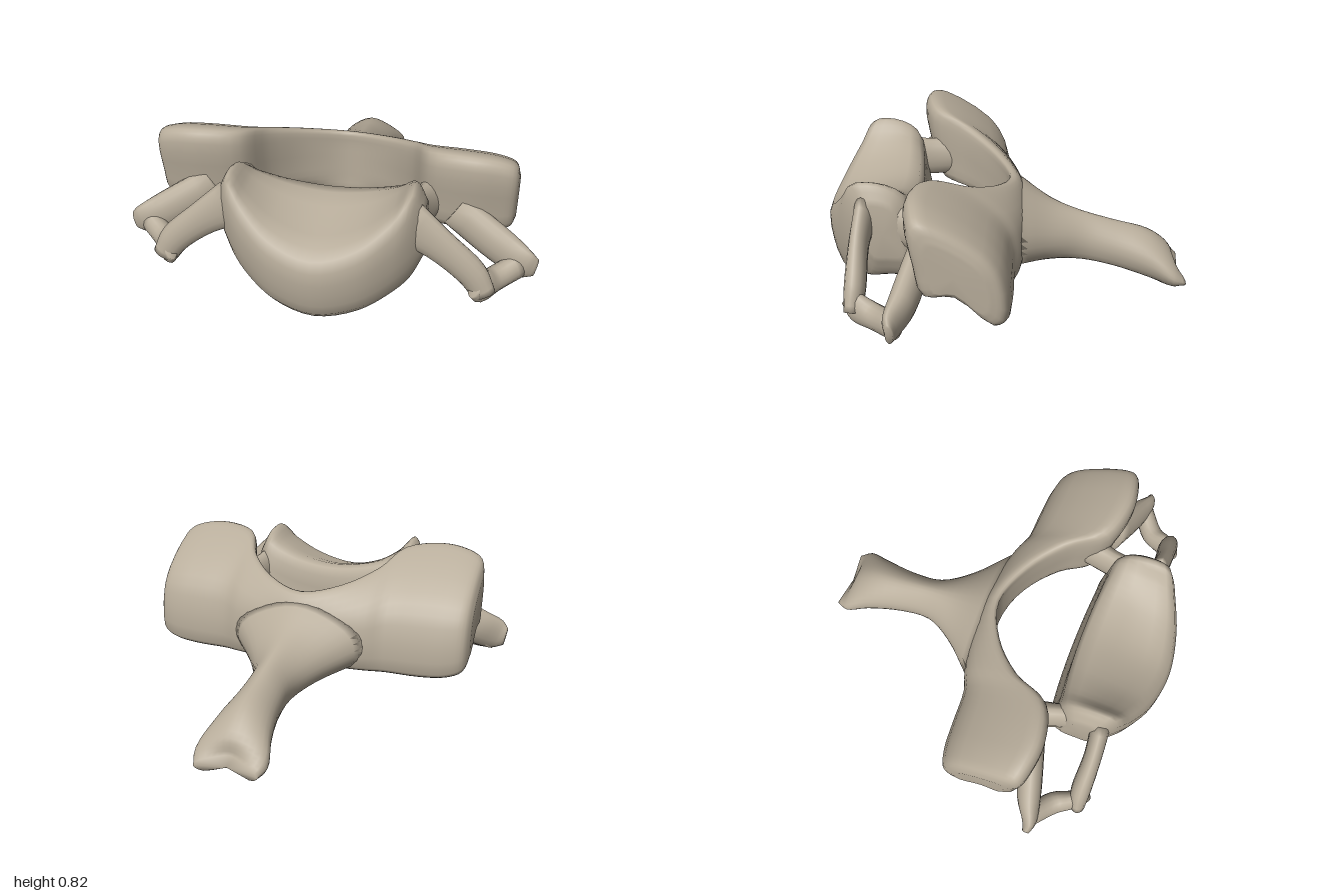
import * as THREE from 'three';

const bone = new THREE.MeshStandardMaterial({ color: 0xb8ad9b });
bone.name = 'bone';

// Smooth closed skin through a row of rings that share a point count
function loft(name, rings, ringStep = 3, rowStep = 4) {
  const around = rings[0].length * ringStep;
  const dense = rings.map((r) => {
    const c = new THREE.CatmullRomCurve3(r, true, 'centripetal');
    return Array.from({ length: around }, (_, i) => c.getPoint(i / around));
  });
  const rows = (rings.length - 1) * rowStep;
  const columns = dense[0].map((_, i) => new THREE.CatmullRomCurve3(dense.map((r) => r[i]), false, 'centripetal'));
  const pts = [];
  for (let j = 0; j <= rows; j++) columns.forEach((c) => pts.push(c.getPoint(j / rows)));
  const index = [];
  for (let j = 0; j < rows; j++) {
    for (let i = 0; i < around; i++) {
      const a = j * around + i, b = j * around + (i + 1) % around;
      index.push(a, b, b + around, a, b + around, a + around);
    }
  }
  // End caps
  for (const [start, flip] of [[0, true], [rows * around, false]]) {
    const mid = new THREE.Vector3();
    for (let i = 0; i < around; i++) mid.addScaledVector(pts[start + i], 1 / around);
    const m = pts.push(mid) - 1;
    for (let i = 0; i < around; i++) {
      const a = start + i, b = start + (i + 1) % around;
      index.push(m, flip ? b : a, flip ? a : b);
    }
  }
  // Turn the skin outward if its enclosed volume is negative
  let volume = 0;
  const cross = new THREE.Vector3();
  for (let i = 0; i < index.length; i += 3) {
    volume += pts[index[i]].dot(cross.crossVectors(pts[index[i + 1]], pts[index[i + 2]]));
  }
  if (volume < 0) index.reverse();
  const geo = new THREE.BufferGeometry().setFromPoints(pts);
  geo.setIndex(index);
  geo.computeVertexNormals();
  const mesh = new THREE.Mesh(geo, bone);
  mesh.name = name;
  return mesh;
}

// Symmetric loft across x: each station [x, blend, scale] mixes the middle and
// outer [z, y] profiles, then scales the mix about a centre
function blendLoft(name, middle, outer, [cz, cy], stations) {
  const ring = ([x, t, k], s) => middle.map(([z, y], i) => new THREE.Vector3(
    s * x,
    cy + (THREE.MathUtils.lerp(y, outer[i][1], t) - cy) * k,
    cz + (THREE.MathUtils.lerp(z, outer[i][0], t) - cz) * k,
  ));
  const mirrored = stations.slice(1).reverse().map((st) => ring(st, -1));
  return loft(name, [...mirrored, ...stations.map((st) => ring(st, 1))]);
}

// Rounded bar through nodes [x, y, z, sideways radius, upright radius]
function bar(name, nodes, side) {
  const centres = nodes.map(([x, y, z]) => new THREE.Vector3(side * x, y, z));
  const rings = nodes.map(([, , , rw, rh], k) => {
    const t = centres[Math.min(k + 1, nodes.length - 1)].clone().sub(centres[Math.max(k - 1, 0)]).normalize();
    const across = new THREE.Vector3().crossVectors(t, new THREE.Vector3(0, 1, 0)).normalize();
    const up = new THREE.Vector3().crossVectors(across, t);
    return Array.from({ length: 8 }, (_, i) => {
      const a = i * Math.PI / 4;
      return centres[k].clone().addScaledVector(across, rw * Math.cos(a)).addScaledVector(up, rh * Math.sin(a));
    });
  });
  return loft(name, rings, 2);
}

export function createModel() {
  const group = new THREE.Group();
  group.name = 'vertebra';

  // Body with a saddle-shaped top and raised side lips
  group.add(blendLoft('vertebralBody',
    [[.43, .21], [.65, .17], [.88, .13], [.945, .3], [.93, .49], [.72, .56], [.48, .6], [.455, .4]],
    [[.46, .28], [.6, .27], [.7, .28], [.775, .46], [.76, .75], [.64, .765], [.52, .7], [.47, .5]],
    [.62, .55],
    [[0, 0, 1], [.2, .22, 1], [.34, .64, 1], [.42, 1, 1], [.48, 1, .55]]));

  // Arch: laminae at the middle running out into the joint pillars
  group.add(blendLoft('archAndJointPillars',
    [[0, .61], [-.04, .6], [-.08, .52], [-.1, .42], [-.08, .25], [-.02, .22], [0, .26], [0, .32], [0, .42], [0, .54]],
    [[.455, .82], [.38, .81], [.12, .64], [.02, .49], [0, .24], [.05, .21], [.26, .39], [.42, .4], [.46, .56], [.485, .76]],
    [.25, .5],
    [[0, 0, 1], [.2, .17, 1], [.36, .5, 1], [.46, .88, 1], [.64, 1, 1], [.78, 1, .95], [.86, 1, .83], [.885, 1, .55]]));

  // Rear spine: [z, half width, top, bottom], hollow below, forked at the tip
  const spine = [
    [-.04, .37, .58, .23], [-.22, .2, .465, .19], [-.38, .11, .4, .15], [-.55, .11, .345, .11],
    [-.75, .15, .28, .05], [-.87, .185, .175, .01], [-.94, .16, .09, .01],
  ];
  const half = [[.5, .88], [.93, .6], [1, .3], [.72, 0]];
  const outline = [[0, 1], ...half, [0, .22], ...half.map(([x, y]) => [-x, y]).reverse()];
  group.add(loft('rearSpine', spine.map(([z, w, top, bottom], k) => {
    const fork = k === spine.length - 1 ? .06 : 0;
    return outline.map(([x, y]) => new THREE.Vector3(
      x * w, THREE.MathUtils.lerp(bottom, top, y), z + fork * (1 - Math.abs(x))));
  })));

  for (const side of [1, -1]) {
    const s = side > 0 ? 'left' : 'right';
    // Pedicle joining the body to the joint pillar
    group.add(bar(s + 'Pedicle',
      [[.4, .57, .66, .06, .13], [.44, .53, .48, .055, .11], [.5, .52, .28, .08, .11]], side));
    // Side wing: front bar, outer gutter and rear bar around an opening
    group.add(bar(s + 'WingFrontBar', [
      [.4, .6, .7, .05, .13], [.55, .51, .72, .045, .09],
      [.71, .37, .725, .05, .075], [.77, .27, .735, .04, .06],
    ], side));
    group.add(bar(s + 'WingGutter', [
      [.73, .33, .755, .03, .06], [.76, .29, .71, .045, .08],
      [.81, .27, .62, .055, .065], [.92, .3, .53, .05, .07],
    ], side));
    group.add(bar(s + 'WingRearBar', [
      [1, .3, .54, .018, .05], [.95, .31, .54, .035, .085],
      [.84, .36, .495, .06, .1], [.6, .5, .42, .06, .1],
    ], side));
  }
  return group;
}
